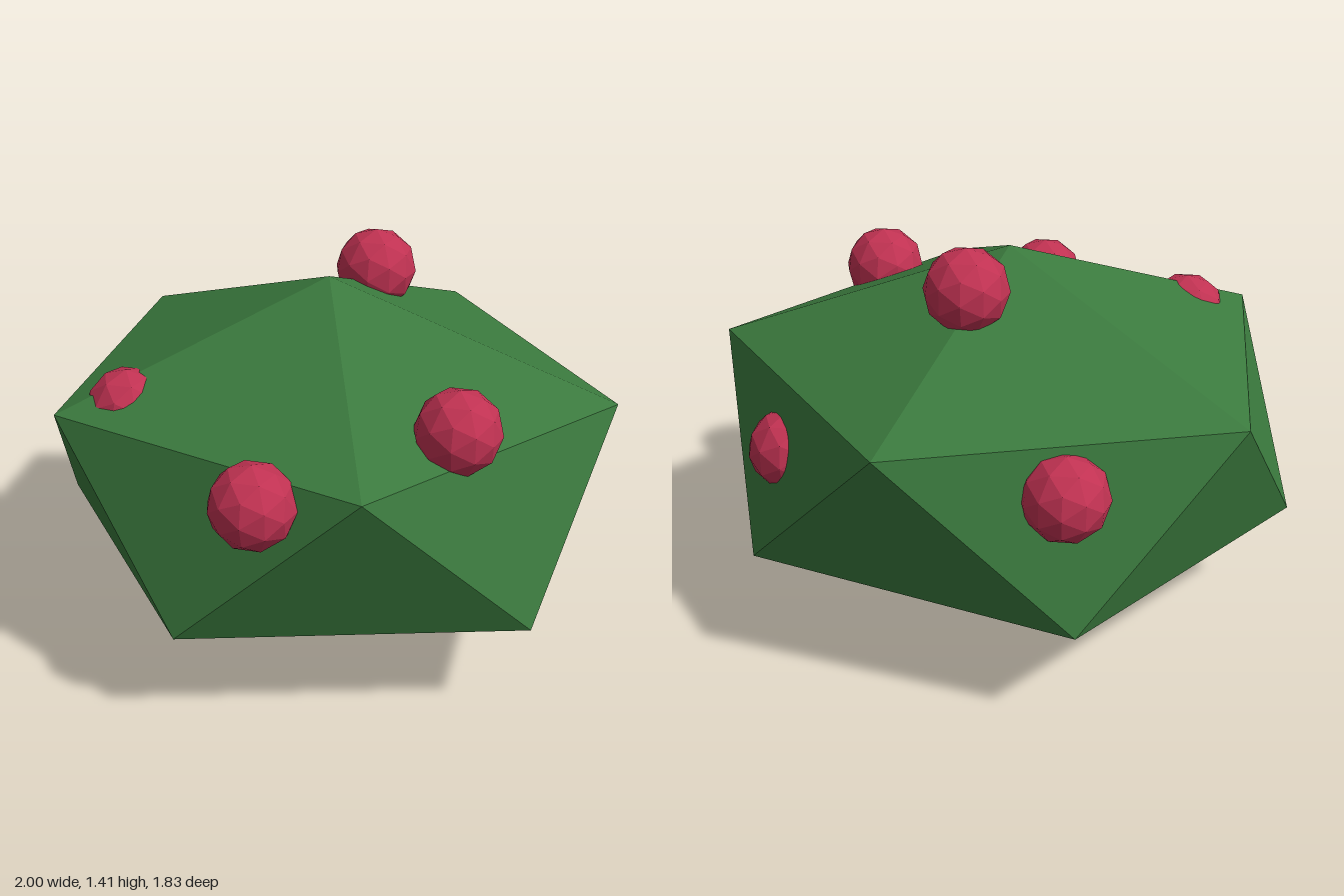
import * as THREE from 'three';

export function createModel() {
  const group = new THREE.Group();
  const leafMat = new THREE.MeshStandardMaterial({ color: 0x3b7a3e, flatShading: true });
  const berryMat = new THREE.MeshStandardMaterial({ color: 0xc03252, flatShading: true });

  // Bush body: an icosahedron turned to stand on one corner, then squashed
  const body = new THREE.IcosahedronGeometry(1, 0);
  body.rotateZ(-Math.atan(2 / (1 + Math.sqrt(5))));
  body.scale(1.118, 0.66, 1.006);
  body.translate(0, 0.662, -0.045);
  const bush = new THREE.Mesh(body, leafMat);
  bush.name = 'bush';
  group.add(bush);

  // Berries: faceted balls sunk to different depths in the foliage
  const berryGeo = new THREE.IcosahedronGeometry(0.143, 1);
  const centres = [
    [-0.04, 0.885, 0.77],
    [0.53, 1.035, 0.425],
    [0.107, 1.265, -0.305],
    [0.69, 0.715, -0.435],
    [-0.6, 0.94, 0.343],
    [-0.26, 0.8, -0.772],
  ];
  centres.forEach((c, i) => {
    const berry = new THREE.Mesh(berryGeo, berryMat);
    berry.name = `berry${i + 1}`;
    berry.position.set(...c);
    group.add(berry);
  });

  return group;
}
